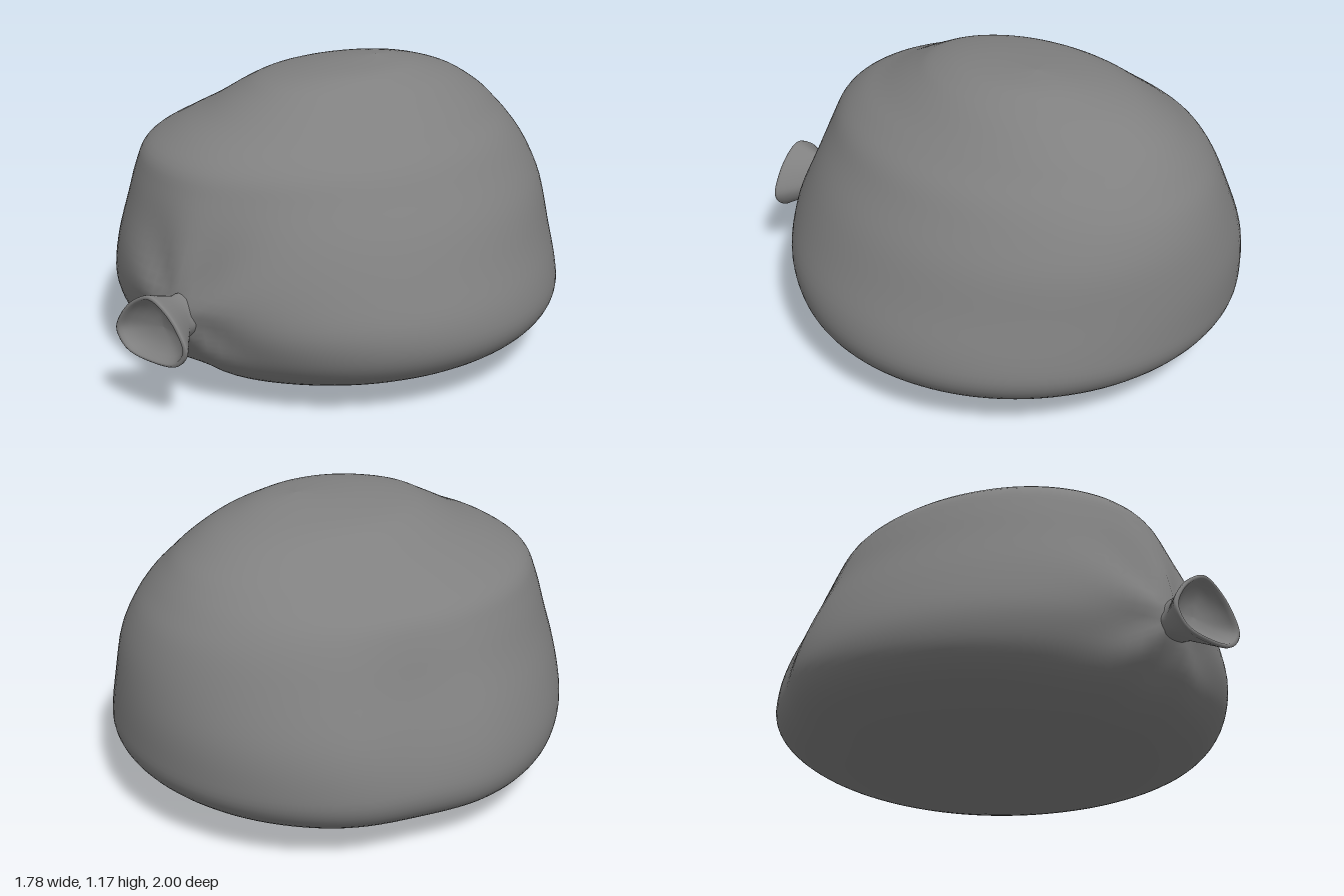
import * as THREE from 'three';

// Skin a stack of closed rings (counter-clockwise about the stacking direction).
function loft(rings) {
  const n = rings[0].length;
  const pos = rings.flat().flatMap((p) => [p.x, p.y, p.z]);
  const idx = [];
  for (let i = 0; i < rings.length - 1; i++) {
    for (let j = 0; j < n; j++) {
      const k = (j + 1) % n;
      const a = i * n + j, b = i * n + k, c = (i + 1) * n + k, d = (i + 1) * n + j;
      idx.push(a, b, c, a, c, d);
    }
  }
  const g = new THREE.BufferGeometry();
  g.setAttribute('position', new THREE.Float32BufferAttribute(pos, 3));
  g.setIndex(idx);
  g.computeVertexNormals();
  return g;
}

// Gathered pleats that radiate over the front wall from the neck.
function pleat(p) {
  if (p.z < 0) return;
  const dx = p.x + 0.03, dy = p.y - 0.38;
  const d = Math.hypot(dx, dy);
  const angle = Math.atan2(dy, dx) - Math.PI / 2;
  const fade = Math.exp(-((d / 0.36) ** 2)) * Math.min(1, d / 0.2);
  p.z += 0.018 * fade * Math.cos(5 * angle);
  p.z += 0.02 * Math.exp(-((d / 0.13) ** 2));
}

// Soft hollow in the rear wall on the -x side.
function dent(p) {
  const d2 = ((p.x + 0.76) / 0.22) ** 2 + ((p.z + 0.47) / 0.2) ** 2 + ((p.y - 0.5) / 0.45) ** 2;
  const depth = 0.045 * Math.exp(-d2);
  p.x += depth * 0.85;
  p.z += depth * 0.5;
}

// Slumped body: height, x min, x max, z min, z max at each level.
function bodyGeometry() {
  const levels = [
    [0.003, 0, 0, -0.05, -0.05],
    [0.012, -0.2, 0.2, -0.25, 0.19],
    [0.03, -0.38, 0.38, -0.47, 0.4],
    [0.06, -0.555, 0.555, -0.64, 0.57],
    [0.115, -0.75, 0.74, -0.82, 0.69],
    [0.175, -0.85, 0.838, -0.925, 0.755],
    [0.255, -0.892, 0.882, -0.987, 0.805],
    [0.36, -0.888, 0.87, -1, 0.835],
    [0.5, -0.845, 0.815, -0.995, 0.82],
    [0.66, -0.775, 0.75, -0.962, 0.775],
    [0.79, -0.72, 0.67, -0.915, 0.73],
    [0.88, -0.667, 0.605, -0.857, 0.688],
    [0.95, -0.555, 0.53, -0.798, 0.6],
    [1.01, -0.455, 0.465, -0.73, 0.475],
    [1.08, -0.35, 0.38, -0.615, 0.345],
    [1.125, -0.25, 0.302, -0.49, 0.25],
    [1.158, -0.08, 0.22, -0.35, 0.08],
    [1.174, 0.08, 0.08, -0.22, -0.22],
  ];
  const curve = (a, b) => new THREE.CatmullRomCurve3(
    levels.map((l) => new THREE.Vector3(l[a], l[0], l[b])), false, 'catmullrom', 0.5);
  const xs = curve(1, 2), zs = curve(3, 4);
  const rings = [], steps = 68, sides = 112;
  for (let i = 0; i <= steps; i++) {
    const u = xs.getPoint(i / steps), v = zs.getPoint(i / steps);
    const cx = (u.x + u.z) / 2, rx = (u.z - u.x) / 2;
    const cz = (v.x + v.z) / 2, rz = (v.z - v.x) / 2;
    // The oval leans along one diagonal towards the top.
    const skew = 0.12 * THREE.MathUtils.smoothstep(u.y, 0.35, 0.95);
    const ring = [];
    for (let j = 0; j < sides; j++) {
      const a = (j / sides) * Math.PI * 2;
      const p = new THREE.Vector3(cx + rx * Math.cos(a), u.y, cz - rz * Math.sin(a + skew));
      pleat(p);
      dent(p);
      ring.push(p);
    }
    rings.push(ring);
  }
  return loft(rings);
}

// Flared neck with a rounded-triangle mouth and a shallow hollow inside.
function neckGeometry() {
  const half = [[0, 0.145], [-0.08, 0.11], [-0.145, 0.045], [-0.178, -0.03], [-0.13, -0.095], [0, -0.115]];
  const other = half.slice(1, -1).reverse().map(([x, y]) => [-x, y]);
  const outline = new THREE.CatmullRomCurve3(
    [...half, ...other].map(([x, y]) => new THREE.Vector3(x, y, 0)), true).getPoints(48).slice(0, -1);
  // z, x scale, y scale, centre height
  const sections = [
    [0.81, 0.42, 0.6, 0.375], [0.85, 0.43, 0.64, 0.375], [0.875, 0.47, 0.65, 0.372],
    [0.92, 0.68, 0.79, 0.367], [0.965, 0.9, 0.93, 0.362], [0.985, 0.99, 1, 0.36],
    [0.995, 1, 1, 0.36], [1, 0.96, 0.96, 0.36], [0.997, 0.9, 0.9, 0.36],
    [0.985, 0.86, 0.86, 0.36], [0.965, 0.76, 0.76, 0.36], [0.945, 0.56, 0.58, 0.36],
    [0.932, 0.3, 0.32, 0.362], [0.928, 0, 0, 0.363],
  ];
  return loft(sections.map(([z, sx, sy, cy]) =>
    outline.map((p) => new THREE.Vector3(-0.013 + p.x * sx, cy + p.y * sy, z))));
}

export function createModel() {
  const group = new THREE.Group();
  group.name = 'slumpedBag';
  const skin = new THREE.MeshStandardMaterial({ color: 0x808080 });
  skin.name = 'greySkin';

  const body = new THREE.Mesh(bodyGeometry(), skin);
  body.name = 'body';
  const neck = new THREE.Mesh(neckGeometry(), skin);
  neck.name = 'neck';
  group.add(body, neck);
  return group;
}
